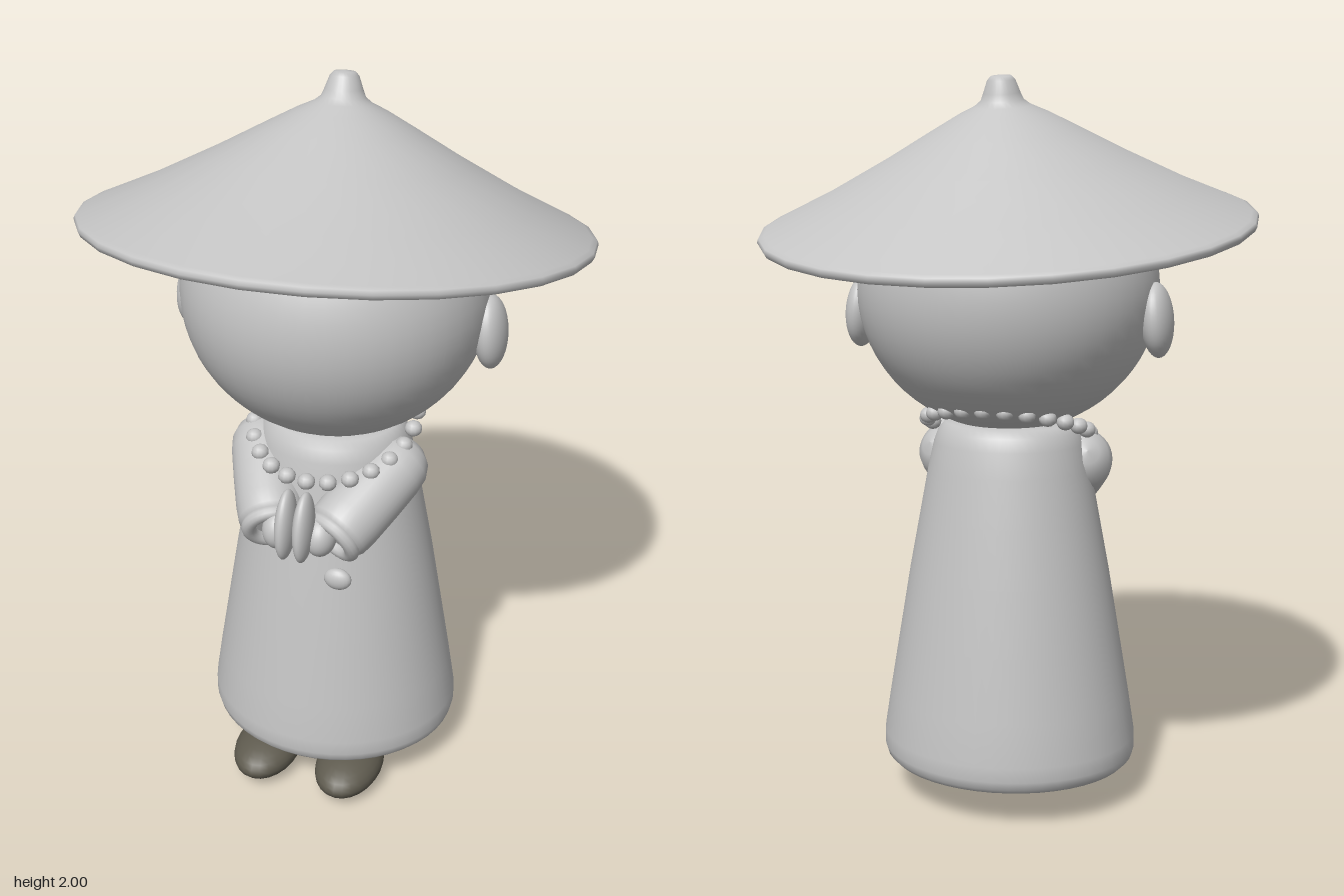
import * as THREE from 'three';

const clay = new THREE.MeshStandardMaterial({ color: 0xc4c4c4 });
clay.name = 'light grey';
const shoe = new THREE.MeshStandardMaterial({ color: 0x5f5b4f });
shoe.name = 'dark brown grey';

const V3 = (x, y, z) => new THREE.Vector3(x, y, z);
const points = (list) => list.map(([r, y]) => new THREE.Vector2(r, y));

function add(parent, name, geometry, material = clay) {
  const mesh = new THREE.Mesh(geometry, material);
  mesh.name = name;
  parent.add(mesh);
  return mesh;
}

function ellipsoid(parent, name, [x, y, z], [rx, ry, rz], material = clay, ws = 32, hs = 20) {
  const geometry = new THREE.SphereGeometry(1, ws, hs).scale(rx, ry, rz);
  const mesh = add(parent, name, geometry, material);
  mesh.position.set(x, y, z);
  return mesh;
}

// Turn a mesh so its local y axis runs along a direction
function aim(mesh, direction) {
  mesh.quaternion.setFromUnitVectors(V3(0, 1, 0), direction.clone().normalize());
}

export function createModel() {
  const model = new THREE.Group();
  model.name = 'robedFigure';

  // Robe: a tapered bell with rounded hem and shoulders, a little flatter front to back
  const robe = add(model, 'robe', new THREE.LatheGeometry(points([
    [0, 0.11], [0.31, 0.108], [0.338, 0.114], [0.352, 0.128], [0.358, 0.15], [0.357, 0.19],
    [0.34, 0.3], [0.31, 0.48], [0.28, 0.66], [0.25, 0.82], [0.226, 0.95],
    [0.21, 1.02], [0.197, 1.055], [0.178, 1.075], [0.13, 1.085], [0, 1.085],
  ]), 48));
  robe.scale.z = 0.91;
  robe.position.z = 0.015;

  // Head
  ellipsoid(model, 'head', [0, 1.44, 0.007], [0.41, 0.385, 0.397], clay, 48, 32);

  // Hat: a hollow cone with a rolled rim and a small knob, tilted back
  const hat = add(model, 'hat', new THREE.LatheGeometry(points([
    [0, 0.285], [0.06, 0.275], [0.3, 0.165], [0.5, 0.064], [0.64, -0.008],
    [0.65, -0.014], [0.662, -0.012], [0.668, 0], [0.664, 0.01], [0.65, 0.016],
    [0.5, 0.085], [0.33, 0.174], [0.2, 0.247], [0.12, 0.291], [0.075, 0.312],
    [0.057, 0.326], [0.049, 0.345], [0.037, 0.378], [0.027, 0.388], [0, 0.391],
  ]), 28));
  hat.position.set(0, 1.615, 0);
  hat.rotation.x = -THREE.MathUtils.degToRad(9);

  // Bead necklace: a loop rising toward the back
  const necklace = new THREE.Group();
  necklace.name = 'necklace';
  model.add(necklace);
  const beads = 24;
  for (let i = 0; i < beads; i++) {
    const a = (i / beads) * Math.PI * 2;
    const z = 0.01 + 0.235 * Math.cos(a);
    ellipsoid(necklace, 'bead', [0.222 * Math.sin(a), 1.066 - 0.33 * z, z],
      [0.024, 0.022, 0.024], clay, 12, 8);
  }

  // Button
  ellipsoid(model, 'button', [0.09, 0.7, 0.252], [0.039, 0.032, 0.022], clay, 20, 12);

  // Mirrored parts
  for (const s of [1, -1]) {
    const side = s > 0 ? 'left' : 'right';

    const ear = ellipsoid(model, side + 'Ear', [s * 0.415, 1.37, -0.015], [0.043, 0.1, 0.075]);
    ear.rotation.z = s * 0.08;

    // Sleeve from the shoulder to the wrist, with a round cuff
    const shoulder = V3(s * 0.19, 0.965, 0.07);
    const wrist = V3(s * 0.095, 0.86, 0.255);
    const along = wrist.clone().sub(shoulder);
    const arm = add(model, side + 'Sleeve', new THREE.LatheGeometry(points([
      [0, -0.09], [0.035, -0.083], [0.065, -0.062], [0.083, -0.03], [0.089, 0.01],
      [0.092, 0.1], [0.093, 0.19], [0.09, 0.235], [0.082, 0.25], [0.07, 0.253], [0, 0.25],
    ]), 32));
    arm.position.copy(shoulder);
    aim(arm, along);

    const cuff = add(model, side + 'Cuff',
      new THREE.TorusGeometry(0.066, 0.02, 12, 32).rotateX(Math.PI / 2));
    cuff.position.copy(wrist).addScaledVector(along.clone().normalize(), 0.025);
    aim(cuff, along);

    // Hands pressed together
    const hand = ellipsoid(model, side + 'Hand', [s * 0.025, 0.9, 0.335], [0.026, 0.098, 0.053]);
    hand.rotation.x = -0.2;
    const palm = ellipsoid(model, side + 'Wrist', [s * 0.06, 0.86, 0.3], [0.042, 0.055, 0.05]);
    palm.rotation.x = -0.3;

    // Leg stub just showing under the hem, and the shoe
    const leg = add(model, side + 'Leg', new THREE.CylinderGeometry(0.078, 0.078, 0.06, 28));
    leg.position.set(s * 0.125, 0.127, 0.085);
    ellipsoid(model, side + 'Shoe', [s * 0.125, 0.063, 0.245], [0.094, 0.057, 0.146], shoe, 24, 14);
  }

  return model;
}
